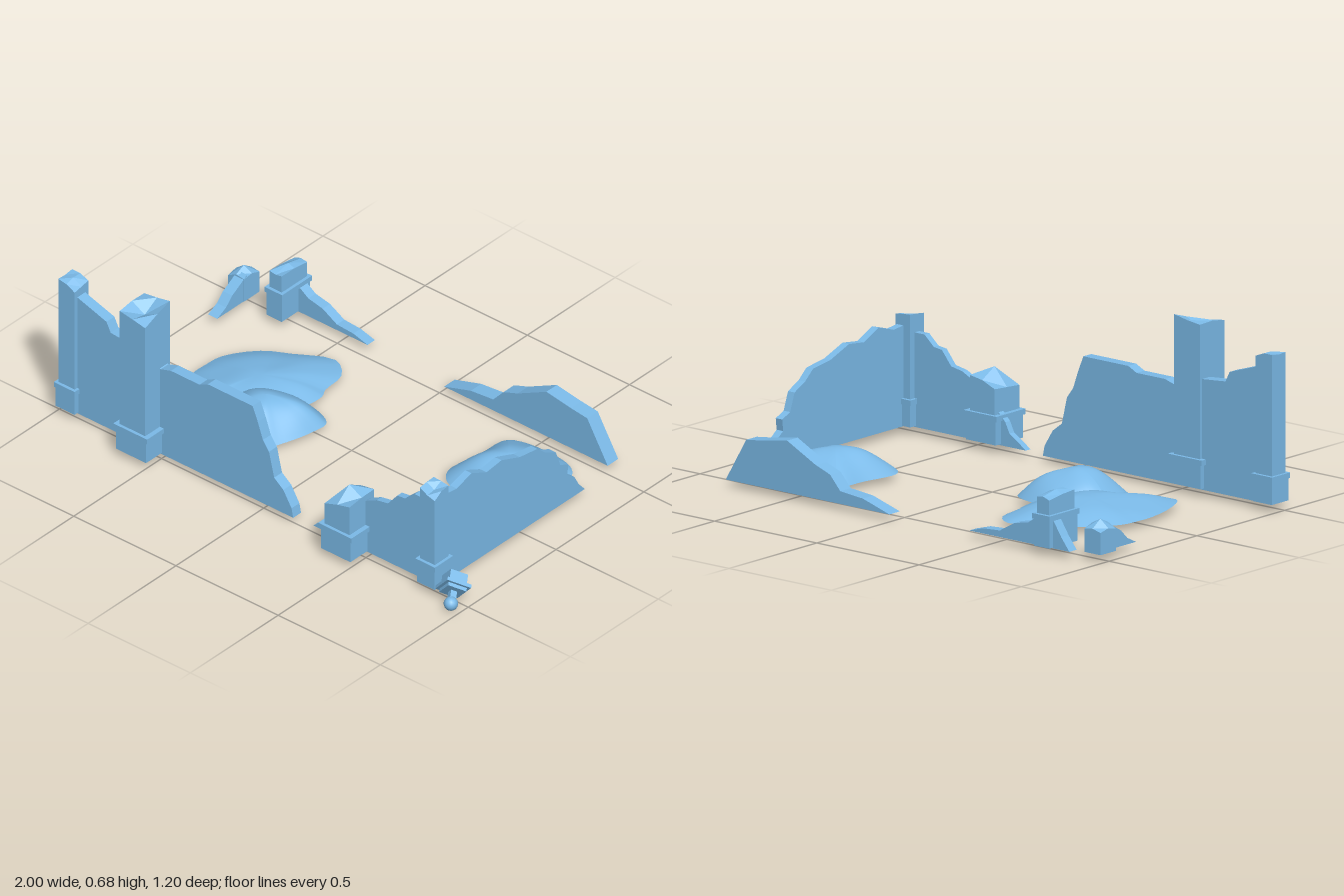
import * as THREE from 'three';

const BLUE = 0x7bbae8;
const stone = new THREE.MeshStandardMaterial({ color: BLUE, flatShading: true, side: THREE.DoubleSide });
const smooth = new THREE.MeshStandardMaterial({ color: BLUE, side: THREE.DoubleSide });

function add(parent, name, geometry, material = stone) {
  const mesh = new THREE.Mesh(geometry, material);
  mesh.name = name;
  parent.add(mesh);
  return mesh;
}

// Masonry is a hollow shell: drop the triangles lying on the lowest level
function openBottom(geo) {
  const flat = geo.index ? geo.toNonIndexed() : geo;
  const a = flat.attributes.position.array;
  flat.computeBoundingBox();
  const limit = flat.boundingBox.min.y + 1e-5;
  const kept = [];
  for (let i = 0; i < a.length; i += 9) {
    if (Math.max(a[i + 1], a[i + 4], a[i + 7]) > limit) kept.push(...a.slice(i, i + 9));
  }
  const out = new THREE.BufferGeometry();
  out.setAttribute('position', new THREE.Float32BufferAttribute(kept, 3));
  out.computeVertexNormals();
  return out;
}

// Wall slab: a broken outline (u, y) extruded by its thickness
function wall(parent, name, outline, from, to, alongZ = false) {
  const shape = new THREE.Shape(outline.map(([u, y]) => new THREE.Vector2(alongZ ? -u : u, y)));
  const geo = new THREE.ExtrudeGeometry(shape, { depth: to - from, bevelEnabled: false });
  geo.translate(0, 0, from);
  if (alongZ) geo.rotateY(Math.PI / 2);
  add(parent, name, openBottom(geo));
}

const boxAt = (x, z, w, d, y0, y1) =>
  new THREE.BoxGeometry(w, y1 - y0, d).translate(x, (y0 + y1) / 2, z);

// Shaft with a jagged top: 3 x 3 heights, rows from back to front
function shaft(parent, name, x, z, w, d, y0, tops) {
  const geo = new THREE.BoxGeometry(w, 1, d, 2, 1, 2);
  const p = geo.attributes.position;
  for (let i = 0; i < p.count; i++) {
    const col = Math.round(p.getX(i) / w * 2) + 1;
    const row = Math.round(p.getZ(i) / d * 2) + 1;
    p.setY(i, p.getY(i) > 0 ? tops[row * 3 + col] : y0);
  }
  add(parent, name, openBottom(geo.translate(x, 0, z)));
}

// Pillar: plinth, projecting lip and broken shaft
function pillar(parent, name, x, z, w, d, lipY, spread, tops) {
  const g = new THREE.Group();
  g.name = name;
  parent.add(g);
  const lip = lipY - 0.021;
  add(g, 'plinth', openBottom(boxAt(x, z, w + spread * 0.55, d + 0.016, 0.043, lip)));
  add(g, 'plinthLip', openBottom(boxAt(x, z, w + spread, d + 0.026, lip, lipY)));
  shaft(g, 'brokenShaft', x, z, w, d, 0.043, tops);
}

// Rubble mound: an open, softly lumpy dome over a closed ground outline
function mound(parent, name, cx, cz, height, outline, lump) {
  const curve = new THREE.CatmullRomCurve3(outline.map(([x, z]) => new THREE.Vector3(x, 0, z)), true);
  const rings = 14, sides = 48, pos = [], index = [];
  for (let i = 0; i <= rings; i++) {
    const t = i / rings;
    for (let j = 0; j <= sides; j++) {
      const q = curve.getPoint((j % sides) / sides);
      const x = cx + (q.x - cx) * t, z = cz + (q.z - cz) * t;
      const bump = lump * Math.sin(x * 22) * Math.cos(z * 19) * t * (1 - t) * 4;
      pos.push(x, 0.036 + height * (1 - Math.pow(t, 1.9)) + bump, z);
      if (i < rings && j < sides) {
        const a = i * (sides + 1) + j, c = a + sides + 1;
        if (i > 0) index.push(a, a + 1, c);
        index.push(a + 1, c + 1, c);
      }
    }
  }
  const geo = new THREE.BufferGeometry();
  geo.setAttribute('position', new THREE.Float32BufferAttribute(pos, 3));
  geo.setIndex(index);
  geo.computeVertexNormals();
  add(parent, name, geo, smooth);
}

export function createModel() {
  const model = new THREE.Group();
  model.name = 'ruinedBuilding';

  // Front walls, either side of the opening
  wall(model, 'frontRightWall', [[-0.935, 0.036], [0.148, 0.036], [0.14, 0.075], [0.1, 0.14], [0.055, 0.175],
    [0.03, 0.28], [0, 0.32], [-0.025, 0.39], [-0.05, 0.45], [-0.27, 0.45], [-0.31, 0.43], [-0.45, 0.43],
    [-0.5, 0.415], [-0.63, 0.46], [-0.745, 0.47], [-0.765, 0.51], [-0.935, 0.565]], 0.46, 0.505);
  wall(model, 'frontLeftWall', [[0.24, 0.038], [0.82, 0.038], [0.82, 0.4], [0.735, 0.4], [0.69, 0.36],
    [0.65, 0.355], [0.605, 0.3], [0.55, 0.29], [0.5, 0.265], [0.38, 0.17], [0.34, 0.13], [0.32, 0.09],
    [0.28, 0.065]], 0.47, 0.497);

  // Side wall, stepping down toward the back
  wall(model, 'leftSideWall', [[0.48, 0.04], [0.48, 0.43], [0.39, 0.42], [0.305, 0.445], [0.22, 0.405],
    [0.135, 0.415], [0.03, 0.375], [-0.07, 0.36], [-0.115, 0.32], [-0.175, 0.29], [-0.2, 0.22],
    [-0.245, 0.2], [-0.24, 0.155], [-0.28, 0.125], [-0.305, 0.08], [-0.34, 0.04]], 0.817, 0.849, true);

  // Back wall remnants
  wall(model, 'backLeftWall', [[0.01, 0.036], [0.81, 0.036], [0.71, 0.205], [0.63, 0.215], [0.51, 0.235],
    [0.37, 0.165], [0.3, 0.14], [0.25, 0.085], [0.14, 0.075]], -0.575, -0.515);
  wall(model, 'backRightWall', [[-0.87, 0.04], [-0.38, 0.04], [-0.45, 0.06], [-0.53, 0.065], [-0.6, 0.105],
    [-0.67, 0.12], [-0.72, 0.155], [-0.79, 0.15], [-0.83, 0.09]], -0.575, -0.533);
  wall(model, 'rightSideWallStub', [[-0.47, 0.04], [-0.47, 0.15], [-0.42, 0.12], [-0.385, 0.1],
    [-0.35, 0.065], [-0.3, 0.04]], -0.96, -0.915, true);

  // Pillars with broken tops
  pillar(model, 'frontRightCornerPillar', -0.948, 0.481, 0.08, 0.078, 0.15, 0.022,
    [0.615, 0.615, 0.6, 0.61, 0.615, 0.592, 0.612, 0.605, 0.585]);
  pillar(model, 'frontRightPillar', -0.567, 0.518, 0.125, 0.14, 0.155, 0.04,
    [0.67, 0.678, 0.69, 0.672, 0.637, 0.668, 0.662, 0.652, 0.64]);
  pillar(model, 'frontLeftPillar', 0.434, 0.518, 0.122, 0.14, 0.155, 0.04,
    [0.255, 0.28, 0.29, 0.25, 0.32, 0.288, 0.245, 0.265, 0.28]);
  pillar(model, 'frontLeftCornerPillar', 0.82, 0.484, 0.072, 0.078, 0.148, 0.024,
    [0.472, 0.47, 0.465, 0.47, 0.45, 0.46, 0.465, 0.445, 0.435]);
  pillar(model, 'backRightPillar', -0.754, -0.517, 0.06, 0.145, 0.168, 0.026,
    [0.225, 0.235, 0.23, 0.235, 0.25, 0.24, 0.24, 0.235, 0.24]);
  shaft(model, 'backRightCornerStump', -0.952, -0.494, 0.078, 0.088, 0.04,
    [0.125, 0.135, 0.13, 0.135, 0.165, 0.145, 0.125, 0.145, 0.14]);

  // Rubble mounds
  mound(model, 'leftRubble', 0.57, -0.23, 0.1, [[0.42, -0.4], [0.56, -0.44], [0.71, -0.42], [0.76, -0.36],
    [0.752, -0.21], [0.765, -0.11], [0.72, -0.045], [0.59, -0.02], [0.43, -0.045], [0.38, -0.11],
    [0.4, -0.26]], 0.006);
  mound(model, 'wideRubble', -0.5, -0.06, 0.062, [[-0.755, -0.05], [-0.745, -0.13], [-0.66, -0.25],
    [-0.56, -0.31], [-0.41, -0.385], [-0.325, -0.32], [-0.31, -0.21], [-0.29, -0.17], [-0.295, -0.08],
    [-0.32, 0.08], [-0.42, 0.2], [-0.5, 0.22], [-0.59, 0.25], [-0.65, 0.29], [-0.71, 0.2],
    [-0.755, 0.03]], 0.004);
  mound(model, 'tallRubble', -0.35, 0.08, 0.115, [[-0.53, 0.05], [-0.45, -0.06], [-0.32, -0.1],
    [-0.165, -0.05], [-0.165, 0.03], [-0.2, 0.16], [-0.24, 0.24], [-0.37, 0.255], [-0.5, 0.21]], 0.008);

  // Fallen finial, tipped onto its ball
  const finial = new THREE.Group();
  finial.name = 'fallenFinial';
  add(finial, 'finialBase', boxAt(0, 0, 0.072, 0.072, -0.04, 0.002));
  add(finial, 'finialCap', boxAt(0, 0, 0.1, 0.1, 0.002, 0.016));
  add(finial, 'finialNeck', boxAt(0, 0, 0.076, 0.076, 0.016, 0.03));
  add(finial, 'finialStem', boxAt(0, 0, 0.025, 0.025, 0.03, 0.065));
  add(finial, 'finialBall', new THREE.SphereGeometry(0.027, 16, 12), smooth).position.y = 0.079;
  finial.quaternion.setFromUnitVectors(new THREE.Vector3(0, 1, 0),
    new THREE.Vector3(0.037, -0.04, 0.06).normalize());
  finial.position.set(0.927, 0.079, 0.497);
  model.add(finial);

  return model;
}
